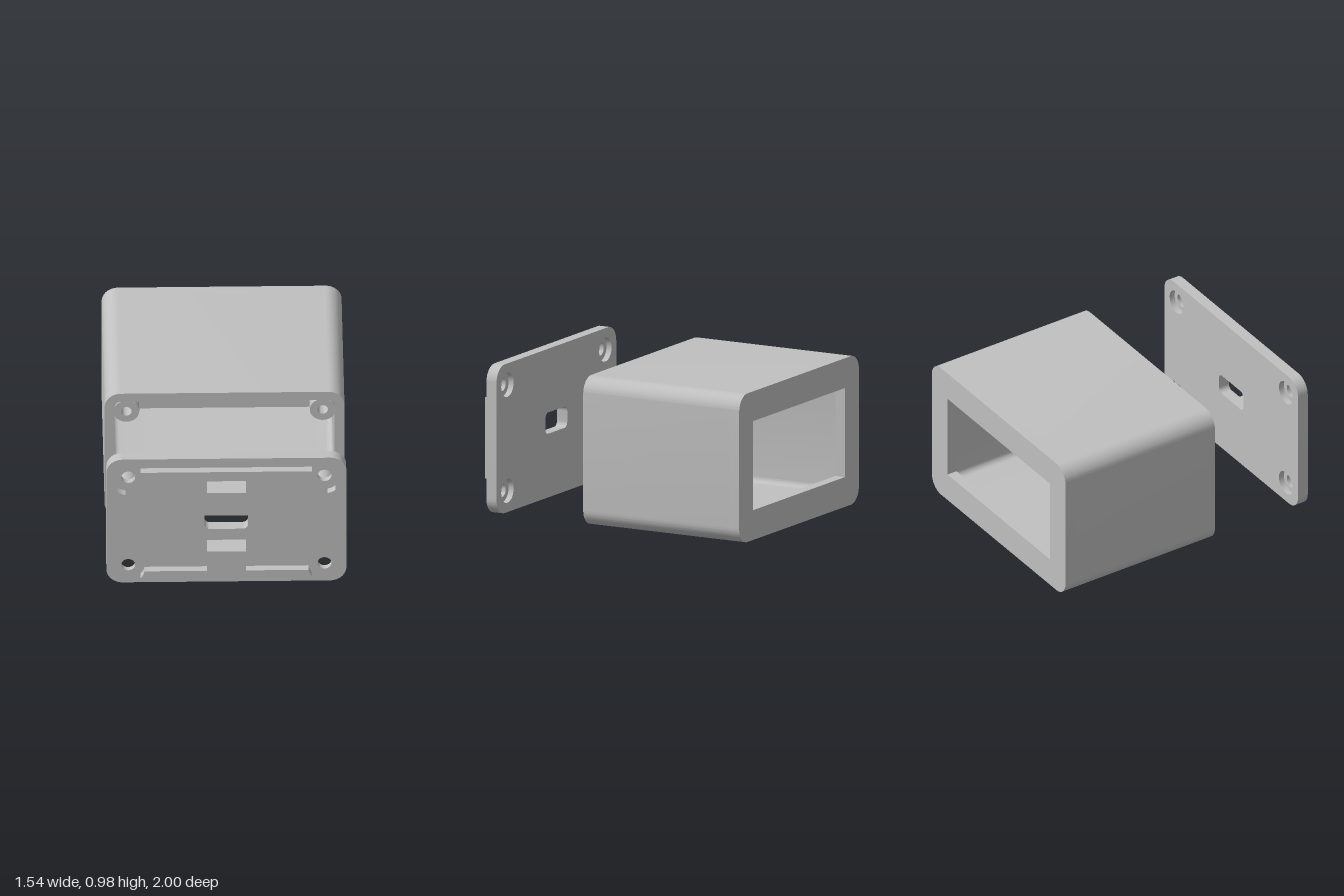
import * as THREE from 'three';
import { toCreasedNormals } from 'three/addons/utils/BufferGeometryUtils.js';

const W = 0.77, H = 0.975, MID = H / 2;     // half width, full height, mid height
const WALL = 0.065, CORNER = 0.105;
const SX = 0.63, SY = 0.3475;               // screw offsets from the centre
const FRONT = 0.155, BACK = -1, BACK_IN = -0.93;

// Rounded rectangle centred on (cx, cy); r = 0 gives sharp corners
function roundRect(path, hw, hh, r, cx = 0, cy = 0) {
  path.moveTo(cx + hw, cy - hh + r);
  const corners = [[1, 1], [-1, 1], [-1, -1], [1, -1]];
  corners.forEach(([sx, sy], i) => {
    const x = cx + sx * (hw - r), y = cy + sy * (hh - r);
    if (r > 0) path.absarc(x, y, r, i * Math.PI / 2, (i + 1) * Math.PI / 2, false);
    else path.lineTo(x, y);
  });
  path.closePath();
  return path;
}

const circle = (path, x, y, r) => path.absarc(x, y, r, 0, Math.PI * 2, false);

// Extrude a shape along z between z0 and z1, keeping curves smooth
function slab(shape, z0, z1) {
  const g = new THREE.ExtrudeGeometry(shape, { depth: z1 - z0, bevelEnabled: false, curveSegments: 12 });
  g.translate(0, 0, z0);
  return toCreasedNormals(g, 0.6);
}

export function createModel() {
  const model = new THREE.Group();
  model.name = 'enclosure';
  const grey = new THREE.MeshStandardMaterial({ color: 0xc0c0c0 });
  grey.name = 'grey plastic';

  function add(parent, name, geometry) {
    const mesh = new THREE.Mesh(geometry, grey);
    mesh.name = name;
    parent.add(mesh);
    return mesh;
  }

  const screws = [];
  for (const sx of [-1, 1]) for (const sy of [-1, 1]) screws.push([sx * SX, MID + sy * SY]);

  // ---- Box ----
  const box = new THREE.Group();
  box.name = 'box';
  model.add(box);

  // Side walls and top: a C profile, open where the floor panel sits
  const fx = 0.5, iw = W - WALL, r = 0.04, q = Math.PI / 2;
  const walls = new THREE.Shape();
  walls.moveTo(fx, 0);
  walls.absarc(W - CORNER, CORNER, CORNER, -q, 0, false);
  walls.absarc(W - CORNER, H - CORNER, CORNER, 0, q, false);
  walls.absarc(-W + CORNER, H - CORNER, CORNER, q, 2 * q, false);
  walls.absarc(-W + CORNER, CORNER, CORNER, 2 * q, 3 * q, false);
  walls.lineTo(-fx, 0);
  walls.lineTo(-fx, WALL);
  walls.absarc(-iw + r, WALL + r, r, 3 * q, 2 * q, true);
  walls.absarc(-iw + r, H - WALL - r, r, 2 * q, q, true);
  walls.absarc(iw - r, H - WALL - r, r, q, 0, true);
  walls.absarc(iw - r, WALL + r, r, 0, -q, true);
  walls.lineTo(fx, WALL);
  walls.closePath();
  add(box, 'boxWalls', slab(walls, BACK_IN, FRONT));

  // Floor panel with a cable slot
  const floor = roundRect(new THREE.Shape(), fx, (FRONT - BACK_IN) / 2, 0, 0, -(FRONT + BACK_IN) / 2);
  floor.holes.push(roundRect(new THREE.Path(), 0.14, 0.07, 0.035, 0, 0.11));
  add(box, 'boxFloor', slab(floor, 0, WALL).rotateX(-Math.PI / 2));

  // Back wall with a display window
  const backWall = roundRect(new THREE.Shape(), W, MID, CORNER, 0, MID);
  backWall.holes.push(roundRect(new THREE.Path(), 0.59, 0.292, 0, 0, MID));
  add(box, 'boxBackWall', slab(backWall, BACK, BACK_IN));

  // Screw posts with blind pilot holes
  for (const [x, y] of screws) {
    const ring = circle(new THREE.Shape(), x, y, 0.083);
    ring.holes.push(circle(new THREE.Path(), x, y, 0.034));
    add(box, 'screwPost', slab(ring, -0.11, FRONT));
    add(box, 'screwPostEnd', slab(circle(new THREE.Shape(), x, y, 0.083), -0.17, -0.11));
  }

  // ---- Lid ----
  const lid = new THREE.Group();
  lid.name = 'lid';
  model.add(lid);

  // Two layers: wide counterbores at the back, narrow holes at the front
  for (const [name, z0, z1, hole] of [['lidOuterLayer', 0.797, 0.835, 0.08], ['lidInnerLayer', 0.835, 0.872, 0.045]]) {
    const plate = roundRect(new THREE.Shape(), W, MID, CORNER, 0, MID);
    plate.holes.push(roundRect(new THREE.Path(), 0.14, 0.07, 0.035, 0, MID));
    for (const [x, y] of screws) plate.holes.push(circle(new THREE.Path(), x, y, hole));
    add(lid, name, slab(plate, z0, z1));
  }

  // Locating ridges, their ends scooped round the screw posts
  const R = 0.106, v0 = 0.018, v1 = 0.07;
  for (let i = 0; i < 4; i++) {
    const [c, out] = i % 2 ? [SY, SX] : [SX, SY];
    const a0 = Math.asin(v0 / R), a1 = Math.asin(v1 / R);
    const ridge = new THREE.Shape();
    ridge.absarc(c, 0, R, Math.PI - a0, Math.PI - a1, true);
    ridge.absarc(-c, 0, R, a1, a0, true);
    ridge.closePath();
    const g = slab(ridge, 0.87, 0.922).translate(0, out, 0).rotateZ(i * Math.PI / 2);
    add(lid, 'locatingRidge', g.translate(0, MID, 0));
  }

  // Strap blocks with a slot running across them
  for (const s of [-1, 1]) {
    const y = MID + s * 0.2325;
    const block = roundRect(new THREE.Shape(), 0.065, 0.076, 0, 0.935, y);
    block.holes.push(roundRect(new THREE.Path(), 0.025, 0.045, 0, 0.934, y));
    add(lid, 'strapBlock', slab(block, -0.125, 0.125).rotateY(-Math.PI / 2));
  }

  return model;
}
